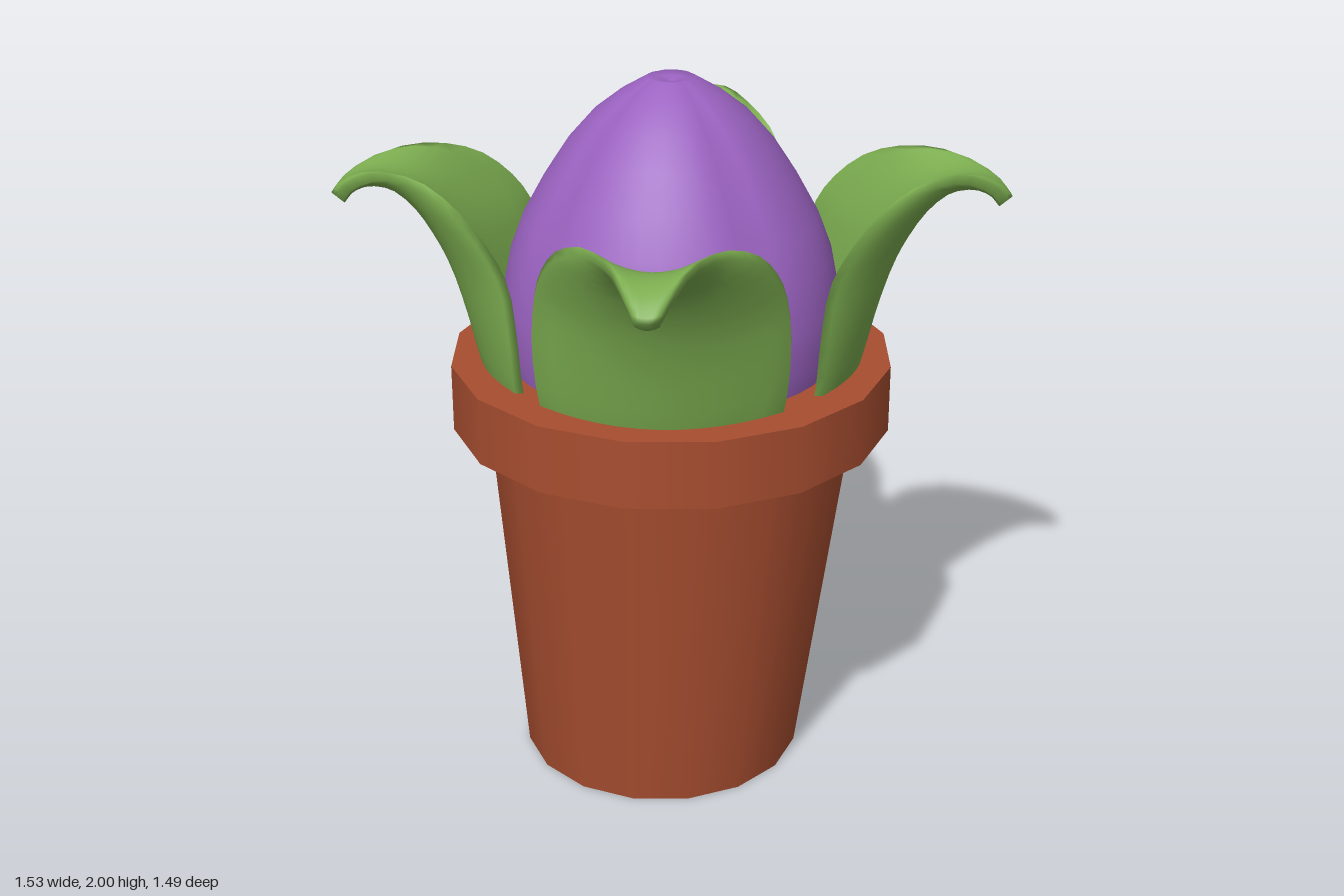
import * as THREE from 'three';

const material = (color) => new THREE.MeshStandardMaterial({ color, roughness: 0.8 });

// Curve through [outward, up, sideways] points
const curve = (pts) => new THREE.CatmullRomCurve3(pts.map((p) => new THREE.Vector3(...p)));

// Thick cupped leaf swept from a midrib and a mirrored side edge; outward is +x
function leafGeometry() {
  const mid = curve([
    [0.49, 1.1, 0], [0.53, 1.22, 0], [0.57, 1.38, 0], [0.61, 1.5, 0], [0.65, 1.58, 0],
    [0.7, 1.65, 0], [0.76, 1.69, 0], [0.82, 1.69, 0], [0.86, 1.67, 0], [0.885, 1.64, 0],
  ]);
  const edge = curve([
    [0.38, 1.1, 0.29], [0.4, 1.22, 0.32], [0.41, 1.38, 0.335], [0.43, 1.52, 0.325], [0.48, 1.61, 0.3],
    [0.56, 1.69, 0.25], [0.66, 1.735, 0.17], [0.77, 1.735, 0.1], [0.855, 1.69, 0.055], [0.885, 1.65, 0.03],
  ]);
  const rows = 20, across = 12, ring = 2 * (across + 1);
  const position = [], index = [];
  for (let i = 0; i <= rows; i++) {
    const t = i / rows;
    const m = mid.getPoint(t), e = edge.getPoint(t), tan = mid.getTangent(t);
    for (let j = 0; j < ring; j++) {
      // First half of the ring is the outer face, second half the inner face
      const inner = j > across;
      const u = (inner ? 2 * across + 1 - j : j) / across * 2 - 1;
      const thick = inner ? 0.045 * (1 - 0.5 * u ** 4) : 0;
      position.push(
        THREE.MathUtils.lerp(m.x, e.x, u * u) - tan.y * thick,
        THREE.MathUtils.lerp(m.y, e.y, u * u) + tan.x * thick,
        e.z * u,
      );
    }
  }
  for (let i = 0; i < rows; i++) {
    for (let j = 0; j < ring; j++) {
      const a = i * ring + j, b = i * ring + (j + 1) % ring;
      index.push(a, a + ring, b, b, a + ring, b + ring);
    }
  }
  // Close the tip
  const tip = rows * ring;
  for (let j = 0; j < across; j++) {
    const a = tip + j, b = a + 1, c = tip + ring - 1 - j, d = c - 1;
    index.push(a, c, b, b, c, d);
  }
  const geometry = new THREE.BufferGeometry();
  geometry.setAttribute('position', new THREE.Float32BufferAttribute(position, 3));
  geometry.setIndex(index);
  geometry.computeVertexNormals();
  return geometry;
}

// Closed bud with four shallow seams between its petals
function budGeometry() {
  const profile = [
    [0.4, 1.05], [0.44, 1.15], [0.465, 1.28], [0.462, 1.4], [0.438, 1.52], [0.4, 1.62],
    [0.345, 1.72], [0.28, 1.82], [0.21, 1.9], [0.14, 1.955], [0.065, 2], [0.03, 1.995], [0, 1.985],
  ].map((p) => new THREE.Vector2(...p));
  const geometry = new THREE.LatheGeometry(profile, 48);
  const pos = geometry.attributes.position;
  for (let i = 0; i < pos.count; i++) {
    const x = pos.getX(i), y = pos.getY(i), z = pos.getZ(i);
    const off = Math.asin(Math.min(1, Math.abs(Math.sin(2 * Math.atan2(z, x))))) / 2;
    const seam = Math.exp(-((off / 0.13) ** 2)) * THREE.MathUtils.smoothstep(y, 1.2, 1.9);
    const s = 1 - 0.06 * seam;
    pos.setXYZ(i, x * s, y, z * s);
  }
  geometry.computeVertexNormals();
  // Share the normals across the lathe's joining seam
  const n = geometry.attributes.normal, rows = profile.length;
  for (let k = 0; k < rows; k++) {
    const a = k, b = pos.count - rows + k;
    const v = new THREE.Vector3().fromBufferAttribute(n, a)
      .add(new THREE.Vector3().fromBufferAttribute(n, b)).normalize();
    n.setXYZ(a, v.x, v.y, v.z);
    n.setXYZ(b, v.x, v.y, v.z);
  }
  return geometry;
}

export function createModel() {
  const group = new THREE.Group();
  const clay = material(0xa84e30), green = material(0x7cad50), purple = material(0x9a62c0);
  const cx = -0.016, cz = -0.009;
  const add = (name, geometry, mat, x, y, z) => {
    const mesh = new THREE.Mesh(geometry, mat);
    mesh.name = name;
    mesh.position.set(x, y, z);
    group.add(mesh);
    return mesh;
  };

  // Tapered pot, its foot slightly off centre
  const body = new THREE.CylinderGeometry(0.513, 0.4, 1.04, 16);
  const p = body.attributes.position;
  for (let i = 0; i < p.count; i++) {
    if (p.getY(i) < 0) p.setXYZ(i, p.getX(i) - 0.027, p.getY(i), p.getZ(i) - 0.011);
  }
  add('potBody', body, clay, cx, 0.52, cz);
  add('potRim', new THREE.CylinderGeometry(0.612, 0.612, 0.19, 16), clay, cx, 1.125, cz);

  add('bud', budGeometry(), purple, cx, 0, cz);

  // Four leaves around the bud
  const leaf = leafGeometry();
  [33, 127, 216, 307].forEach((deg, i) => {
    add(`leaf${i + 1}`, leaf, green, cx, 0, cz).rotation.y = -THREE.MathUtils.degToRad(deg);
  });
  return group;
}
